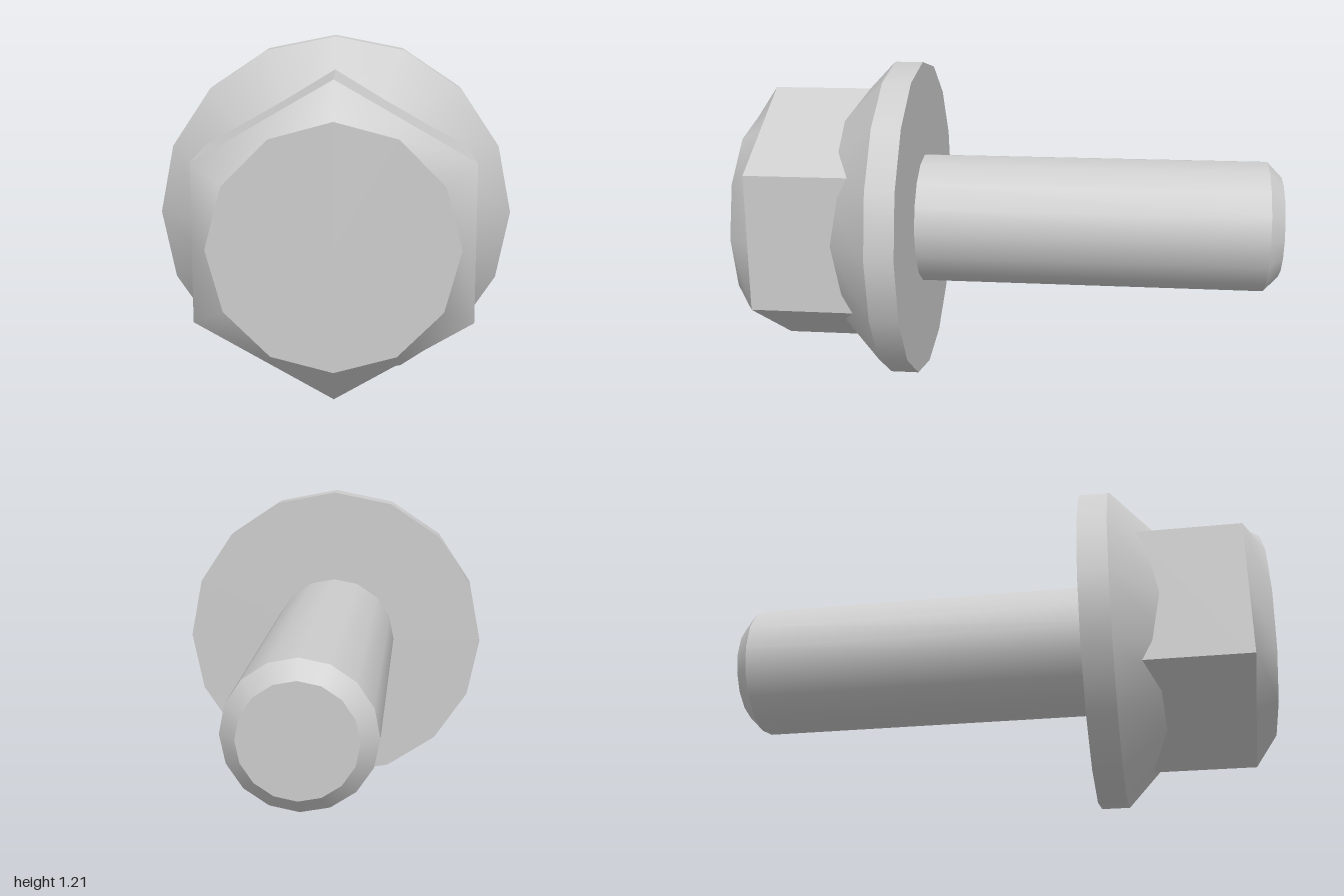
import * as THREE from 'three';
import { mergeVertices } from 'three/addons/utils/BufferGeometryUtils.js';

const SIDES = 16;
const AXIS_Y = 0.603;

// Open frustum along z, from radius r0 at z0 to radius r1 at z1 (z1 > z0)
function frustum(r0, z0, r1, z1, sides = SIDES) {
  const g = new THREE.CylinderGeometry(r1, r0, z1 - z0, sides, 1, true);
  g.rotateX(Math.PI / 2);
  g.translate(0, 0, (z0 + z1) / 2);
  return g;
}

// Flat-faced version of a geometry
function faceted(g) {
  const flat = g.toNonIndexed();
  flat.computeVertexNormals();
  return flat;
}

// Chamfer blending the hexagon into the twelve-sided front face
function hexChamfer(corner, r1, z0, z1) {
  const g = frustum(1, z0, r1, z1, 12);
  const p = g.attributes.position;
  for (let i = 0; i <= 12; i++) {
    const k = 13 + i; // back ring: corners alternate with side midpoints
    const r = i % 2 ? corner * Math.cos(Math.PI / 6) : corner;
    p.setXY(k, p.getX(k) * r, p.getY(k) * r);
  }
  g.deleteAttribute('uv');
  g.deleteAttribute('normal');
  const merged = mergeVertices(g, 1e-4);
  merged.computeVertexNormals();
  return merged;
}

export function createModel() {
  const model = new THREE.Group();
  model.name = 'flangeBolt';
  const steel = new THREE.MeshStandardMaterial({ color: 0xcccccc });
  steel.name = 'steel';

  const add = (name, geometry, parent) => {
    const mesh = new THREE.Mesh(geometry, steel);
    mesh.name = name;
    parent.add(mesh);
  };
  const part = (name) => {
    const group = new THREE.Group();
    group.name = name;
    group.position.y = AXIS_Y;
    model.add(group);
    return group;
  };

  // Hexagonal head
  const head = part('head');
  add('hexSides', faceted(frustum(0.5, 0.53, 0.5, 0.92, 6)), head);
  add('headChamfer', hexChamfer(0.5, 0.384, 0.92, 1), head);
  add('headFace', new THREE.CircleGeometry(0.384, 12).translate(0, 0, 1), head);

  // Flange: sloped front, thin rim, flat bearing face
  const flange = part('flange');
  add('flangeSlope', frustum(0.603, 0.455, 0.42, 0.63), flange);
  add('flangeRim', frustum(0.603, 0.35, 0.603, 0.455), flange);
  add('bearingFace', new THREE.RingGeometry(0.247, 0.603, SIDES)
    .rotateY(Math.PI).translate(0, 0, 0.35), flange);

  // Shank with chamfered tip
  const shank = part('shank');
  add('shankBody', frustum(0.247, -0.945, 0.247, 0.35), shank);
  add('tipChamfer', frustum(0.19, -1, 0.247, -0.945), shank);
  add('tipFace', new THREE.CircleGeometry(0.19, SIDES)
    .rotateY(Math.PI).translate(0, 0, -1), shank);

  return model;
}
